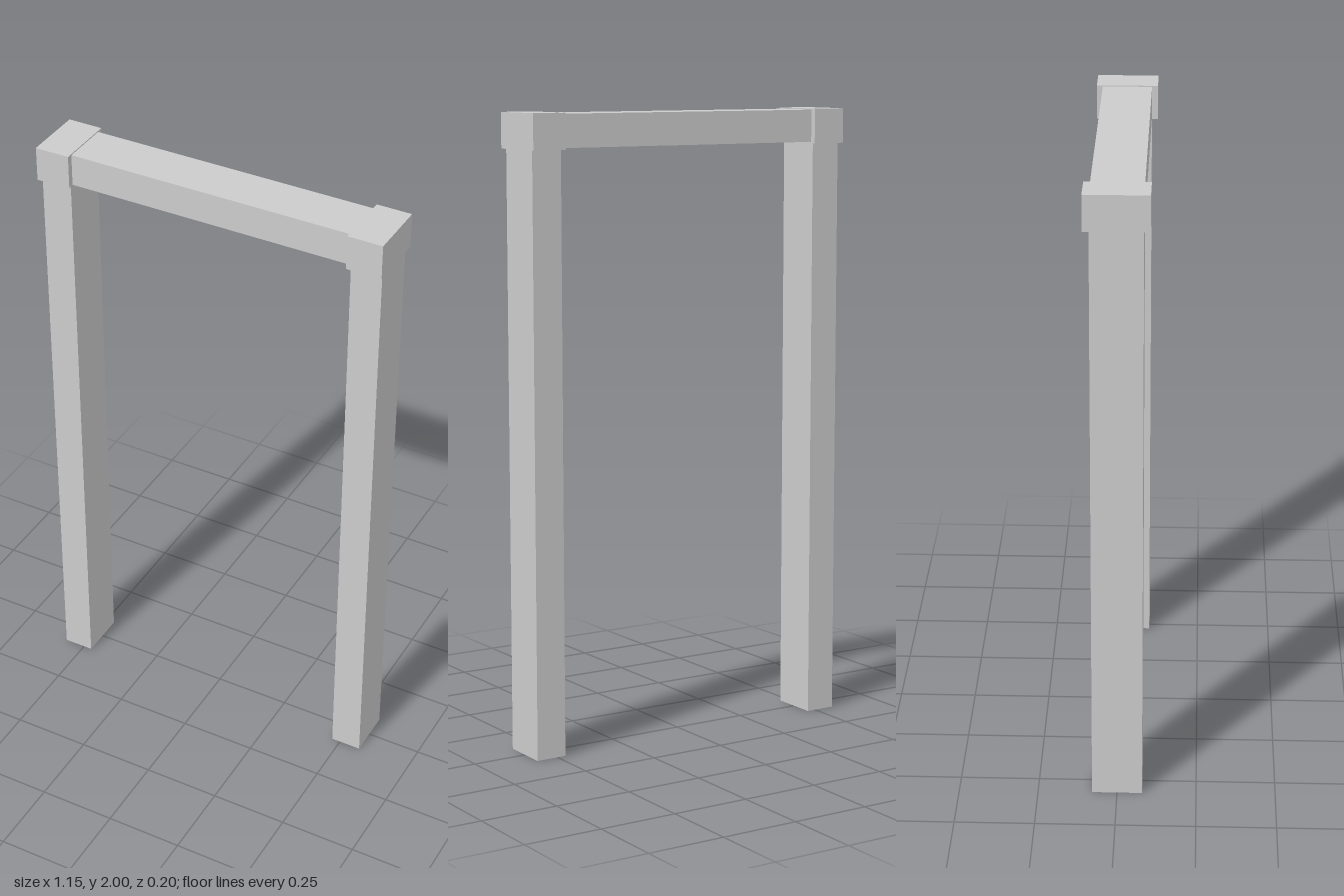
import * as THREE from 'three';

const material = new THREE.MeshStandardMaterial({ color: 0xcccccc, side: THREE.DoubleSide });

// Box without the listed sides (0 +x, 1 -x, 2 +y, 3 -y, 4 +z, 5 -z)
function openBox(w, h, d, openSides = []) {
  const geometry = new THREE.BoxGeometry(w, h, d);
  const index = Array.from(geometry.index.array);
  geometry.setIndex(index.filter((_, i) => !openSides.includes(Math.floor(i / 6))));
  geometry.clearGroups();
  return geometry;
}

function addPart(parent, name, geometry, x, y) {
  const mesh = new THREE.Mesh(geometry, material);
  mesh.name = name;
  mesh.position.set(x, y, 0);
  parent.add(mesh);
}

export function createModel() {
  const model = new THREE.Group();
  model.name = 'doorFrame';

  const capBottom = 1.889;
  const postX = 0.521;

  // Hollow posts, each under a slightly wider corner block
  const postGeometry = openBox(0.1, capBottom, 0.158, [2, 3]);
  const capGeometry = openBox(0.113, 2 - capBottom, 0.196);
  for (const [side, sign] of [['left', 1], ['right', -1]]) {
    addPart(model, side + 'Post', postGeometry, sign * postX, capBottom / 2);
    addPart(model, side + 'CornerBlock', capGeometry, sign * postX, (2 + capBottom) / 2);
  }

  // Lintel between the corner blocks, open where it meets them
  addPart(model, 'lintel', openBox(0.932, 0.103, 0.158, [0, 1]), 0, 1.945);

  return model;
}
